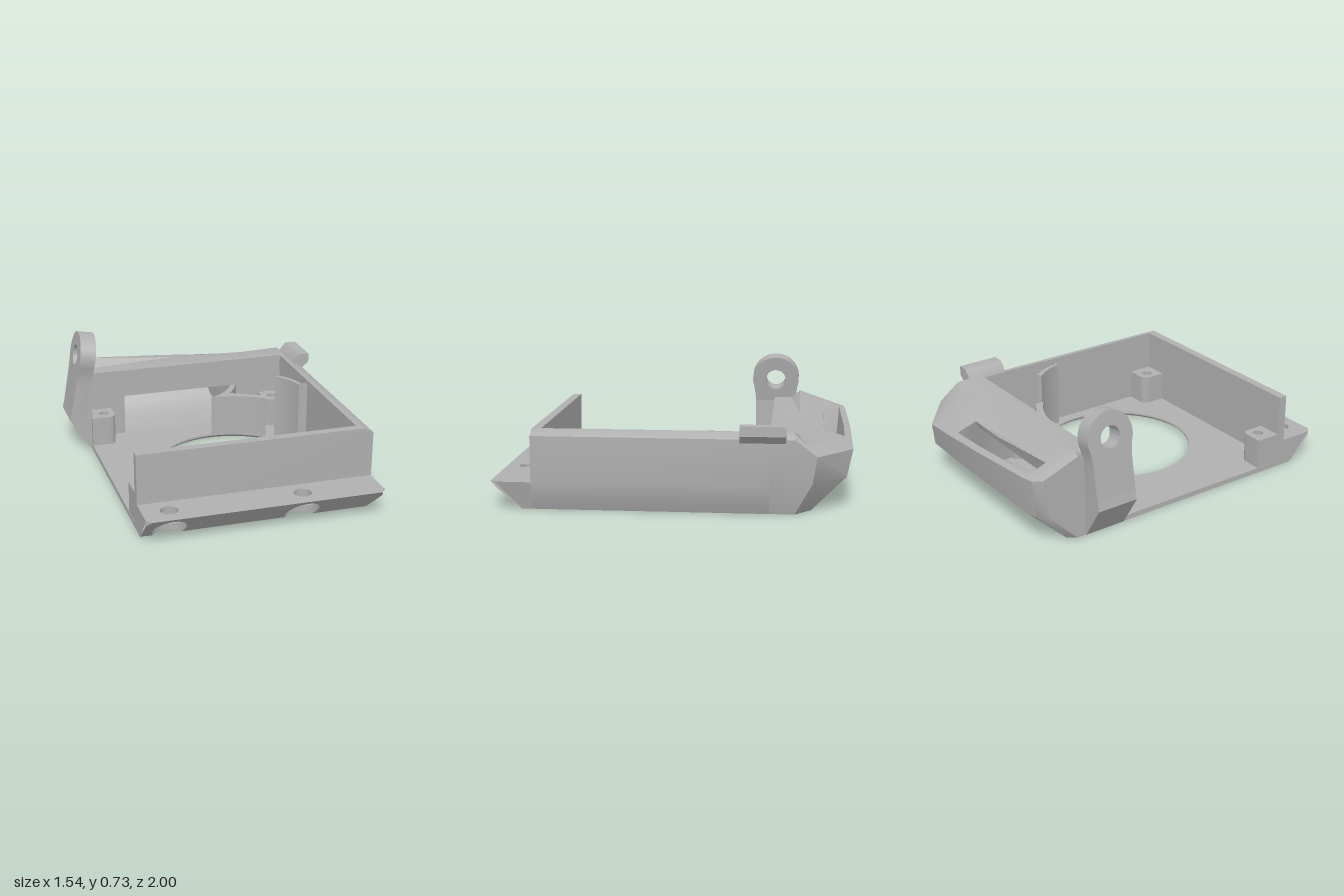
import * as THREE from 'three';
import { toCreasedNormals } from 'three/addons/utils/BufferGeometryUtils.js';

const grey = new THREE.MeshStandardMaterial({ color: 0xb0b0b0, side: THREE.DoubleSide });
grey.name = 'plain grey';

const shapeOf = (pts) => new THREE.Shape(pts.map(([a, b]) => new THREE.Vector2(a, b)));
const circle = (x, y, r) => new THREE.Path().absarc(x, y, r, 0, Math.PI * 2, true);
const extrude = (shape, depth) =>
  toCreasedNormals(new THREE.ExtrudeGeometry(shape, { depth, bevelEnabled: false, curveSegments: 32 }), 0.6);

// Plan outline (x, z) raised from y0 to y1
const planPrism = (shape, y0, y1) => extrude(shape, y1 - y0).rotateX(Math.PI / 2).translate(0, y1, 0);
// Front outline (x, y) running from z0 to z1
const frontPrism = (shape, z0, z1) => extrude(shape, z1 - z0).translate(0, 0, z0);

// Skin through rows of [x, y, z] points
function skin(rows, skip = () => false) {
  const pos = [];
  const tri = (...t) => {
    const [a, b, c] = t.map((p) => new THREE.Vector3(...p));
    if (b.clone().sub(a).cross(c.clone().sub(a)).length() > 1e-7) pos.push(...t.flat());
  };
  for (let i = 0; i < rows.length - 1; i++) {
    for (let j = 0; j < rows[i].length - 1; j++) {
      if (skip(i, j)) continue;
      const a = rows[i][j], b = rows[i + 1][j], c = rows[i + 1][j + 1], d = rows[i][j + 1];
      tri(a, d, c);
      tri(a, c, b);
    }
  }
  const g = new THREE.BufferGeometry();
  g.setAttribute('position', new THREE.Float32BufferAttribute(pos, 3));
  g.computeVertexNormals();
  return toCreasedNormals(g, 0.5);
}

export function createModel() {
  const model = new THREE.Group();
  const add = (name, geo) => {
    const m = new THREE.Mesh(geo, grey);
    m.name = name;
    model.add(m);
    return m;
  };

  const HX = 0.125, HZ = 0.09, screwX = [0.265, -0.49], SZ = 0.88, SR = 0.095;
  const lipY = (z) => Math.max(0, (z - 0.83) * 0.16 / 0.17);
  const arcA = Math.asin((SZ - 0.83) / SR);

  // Floor with fan opening and notches for the screw recesses
  const floor = new THREE.Shape();
  floor.moveTo(-0.64, 0.83).lineTo(-0.64, -0.72).lineTo(-0.6, -0.77).lineTo(0.56, -0.77)
    .lineTo(0.67, -0.68).lineTo(0.67, 0.83);
  screwX.forEach((x) => floor.absarc(x, SZ, SR, -arcA, -Math.PI + arcA, true));
  floor.closePath();
  floor.holes.push(circle(HX, HZ, 0.47));
  add('floor', planPrism(floor, 0, 0.03));
  const ring = [[0.47, 0], [0.445, 0.02], [0.445, 0.03], [0.47, 0.03]].map((p) => new THREE.Vector2(...p));
  add('fanOpeningRim', toCreasedNormals(new THREE.LatheGeometry(ring, 72), 0.4).translate(HX, 0, HZ));

  // Front lip: flat top, sloping underside, end caps
  const lip = shapeOf([[-0.64, 0.74], [-0.64, 0.97], [-0.61, 1], [0.685, 1], [0.715, 0.95], [0.717, 0.74]]);
  screwX.forEach((x) => lip.holes.push(circle(x, SZ, 0.05)));
  add('lipTop', new THREE.ShapeGeometry(lip, 32).rotateX(-Math.PI / 2).scale(1, 1, -1).translate(0, 0.16, 0));
  const slope = new THREE.Shape();
  slope.moveTo(-0.64, 0.83).lineTo(-0.64, 0.97).lineTo(-0.61, 1).lineTo(0.65, 1).lineTo(0.675, 0.96).lineTo(0.67, 0.83);
  screwX.forEach((x) => slope.absarc(x, SZ, SR, -arcA, Math.PI + arcA, false));
  slope.closePath();
  const slopeGeo = new THREE.ShapeGeometry(slope, 32).rotateX(Math.PI / 2);
  const sp = slopeGeo.attributes.position;
  for (let i = 0; i < sp.count; i++) {
    const y = lipY(sp.getZ(i));
    sp.setY(i, y);
    if (sp.getX(i) > 0.6) sp.setX(i, sp.getX(i) + y * 0.25);
  }
  slopeGeo.computeVertexNormals();
  add('lipSlope', slopeGeo);
  [[-0.64, -0.64], [0.67, 0.715]].forEach(([xb, xt]) => add('lipEnd', skin([
    [[xb, 0, 0.72], [xt, 0.16, 0.72]],
    [[xb, 0, 0.83], [xt, 0.16, 0.97]],
  ])));

  // Screw recesses under the lip
  screwX.forEach((x) => {
    const wall = new THREE.CylinderGeometry(SR, SR, 0.13, 40, 1, true).translate(x, 0.065, SZ);
    const p = wall.attributes.position;
    for (let i = 0; i < p.count; i++) if (p.getY(i) < 0.06) p.setY(i, Math.min(0.13, lipY(p.getZ(i))));
    add('screwRecess', wall);
    add('screwRecessTop', new THREE.RingGeometry(0.05, SR, 40).rotateX(Math.PI / 2).translate(x, 0.13, SZ));
    add('screwHole', new THREE.CylinderGeometry(0.05, 0.05, 0.03, 32, 1, true).translate(x, 0.145, SZ));
  });

  // Front wall and curved side wall
  add('frontWall', new THREE.BoxGeometry(1.3, 0.44, 0.05).translate(0.01, 0.23, 0.745));
  add('sideWall', frontPrism(shapeOf([[0.635, 0], [0.67, 0], [0.69, 0.05], [0.706, 0.1], [0.717, 0.16],
    [0.72, 0.42], [0.66, 0.45], [0.635, 0.45]]), -0.54, 0.77));

  // Rear housing stations: bottom, middle, rim, ridge, ridge foot (each x, y, z)
  const stations = [
    [[-0.64, 0, -0.72], [-0.64, 0.18, -0.9], [-0.64, 0.41, -0.93], [-0.64, 0.49, -0.71], [-0.64, 0.45, -0.64]],
    [[-0.6, 0, -0.77], [-0.6, 0.18, -0.95], [-0.6, 0.405, -0.975], [-0.6, 0.5, -0.7], [-0.6, 0.45, -0.64]],
    [[-0.53, 0, -0.77], [-0.53, 0.18, -0.963], [-0.53, 0.4, -0.985], [-0.53, 0.493, -0.7], [-0.53, 0.45, -0.65]],
    [[-0.04, 0, -0.77], [-0.04, 0.18, -0.97], [-0.04, 0.365, -1], [-0.04, 0.45, -0.7], [-0.04, 0.45, -0.7]],
    [[0.22, 0, -0.77], [0.22, 0.18, -0.97], [0.22, 0.345, -1], [0.22, 0.45, -0.68], [0.22, 0.45, -0.68]],
    [[0.56, 0, -0.77], [0.5, 0.18, -0.965], [0.46, 0.33, -1], [0.4, 0.45, -0.67], [0.4, 0.45, -0.67]],
    [[0.67, 0, -0.68], [0.71, 0.18, -0.775], [0.72, 0.33, -0.8], [0.67, 0.45, -0.69], [0.67, 0.45, -0.69]],
    [[0.67, 0, -0.62], [0.717, 0.18, -0.65], [0.72, 0.42, -0.68], [0.66, 0.45, -0.67], [0.66, 0.45, -0.67]],
    [[0.67, 0, -0.54], [0.717, 0.18, -0.54], [0.72, 0.42, -0.54], [0.66, 0.45, -0.54], [0.66, 0.45, -0.54]],
  ];
  const mix = (a, b, t) => a.map((v, k) => v + (b[k] - v) * t);
  const rows = stations.map(([b, m, r, g, k]) =>
    [b, m, r, mix(r, g, 0.13), mix(r, g, 0.5), g, k, [k[0], 0.45, -0.54]]);
  add('rearHousing', skin(rows, (i, j) => (i === 2 || i === 3) && j === 3));
  const cap = shapeOf([...rows[0].map((p) => [p[2], p[1]]), [-0.54, 0]]);
  add('rearHousingEnd', new THREE.ShapeGeometry(cap).rotateY(-Math.PI / 2).translate(-0.64, 0, 0));

  // Inner rear wall with air opening, and the duct up to the slot
  const inner = shapeOf([[-0.64, 0], [0.66, 0], [0.66, 0.45], [-0.64, 0.45]]);
  inner.holes.push(shapeOf([[-0.4, 0.03], [-0.4, 0.28], [0.33, 0.28], [0.33, 0.03]]));
  add('innerRearWall', frontPrism(inner, -0.57, -0.54));
  const section = (x0, x1, yl, zl, yu, zu) => [[x0, yl, zl], [x1, yl, zl], [x1, yu, zu], [x0, yu, zu], [x0, yl, zl]];
  const slotEnd = [rows[2][3], rows[4][3], rows[4][4], rows[2][4], rows[2][3]];
  add('airDuct', skin([
    section(-0.4, 0.33, 0.03, -0.55, 0.28, -0.55),
    section(-0.44, 0.3, 0.05, -0.75, 0.29, -0.67),
    section(-0.48, 0.26, 0.11, -0.86, 0.31, -0.76),
    section(-0.51, 0.24, 0.2, -0.93, 0.35, -0.82),
    slotEnd,
  ]));

  // Corner screw posts, rounded toward the middle
  for (const sx of [-1, 1]) for (const sz of [-1, 1]) {
    const cx = sx * 0.638, cz = sz < 0 ? -0.54 : 0.722, s = 0.15, r = 0.05;
    const at = (u, v) => [cx - sx * u, cz - sz * v];
    const post = new THREE.Shape();
    post.moveTo(...at(0, 0)).lineTo(...at(s, 0)).lineTo(...at(s, s - r))
      .quadraticCurveTo(...at(s, s), ...at(s - r, s)).lineTo(...at(0, s)).closePath();
    post.holes.push(circle(...at(0.085, 0.08), 0.03));
    add('screwPost', planPrism(post, 0.02, 0.21));
  }

  // Air guide vanes beside the fan opening
  const vane = new THREE.Shape();
  vane.moveTo(0.12, -0.36).quadraticCurveTo(0.24, -0.41, 0.3, -0.545).lineTo(0.34, -0.545)
    .quadraticCurveTo(0.3, -0.46, 0.25, -0.4).lineTo(0.44, -0.3).lineTo(0.44, -0.24)
    .quadraticCurveTo(0.31, -0.35, 0.12, -0.36);
  add('airGuide', planPrism(vane, 0.02, 0.28));
  const rib = new THREE.Shape();
  rib.moveTo(0.49, -0.22).quadraticCurveTo(0.56, -0.14, 0.58, -0.04).lineTo(0.64, -0.04)
    .lineTo(0.6, -0.05).quadraticCurveTo(0.58, -0.16, 0.52, -0.23).closePath();
  add('sideGuide', planPrism(rib, 0.02, 0.43));

  // Tilted hinge lug with its wedge foot
  const lug = new THREE.Shape();
  lug.moveTo(-0.125, -0.37).lineTo(0.125, -0.37).lineTo(0.125, -0.13)
    .absarc(0, 0, 0.145, -0.35, Math.PI + 0.35, false).lineTo(-0.125, -0.13).closePath();
  lug.holes.push(circle(0, 0, 0.062));
  add('hingeLug', extrude(lug, 0.096).translate(0, 0, -0.048).rotateY(Math.PI / 2).rotateZ(-0.173)
    .translate(-0.655, 0.575, -0.545));
  add('hingeFoot', frontPrism(shapeOf([[-0.772, 0.2], [-0.65, 0.005], [-0.63, 0.005], [-0.63, 0.43], [-0.72, 0.43]]),
    -0.67, -0.42));

  // Latch on the opposite side
  add('latch', frontPrism(shapeOf([[0.66, 0.44], [0.675, 0.47], [0.705, 0.5], [0.77, 0.5], [0.77, 0.445],
    [0.75, 0.43], [0.72, 0.4]]), -0.63, -0.38));

  return model;
}
